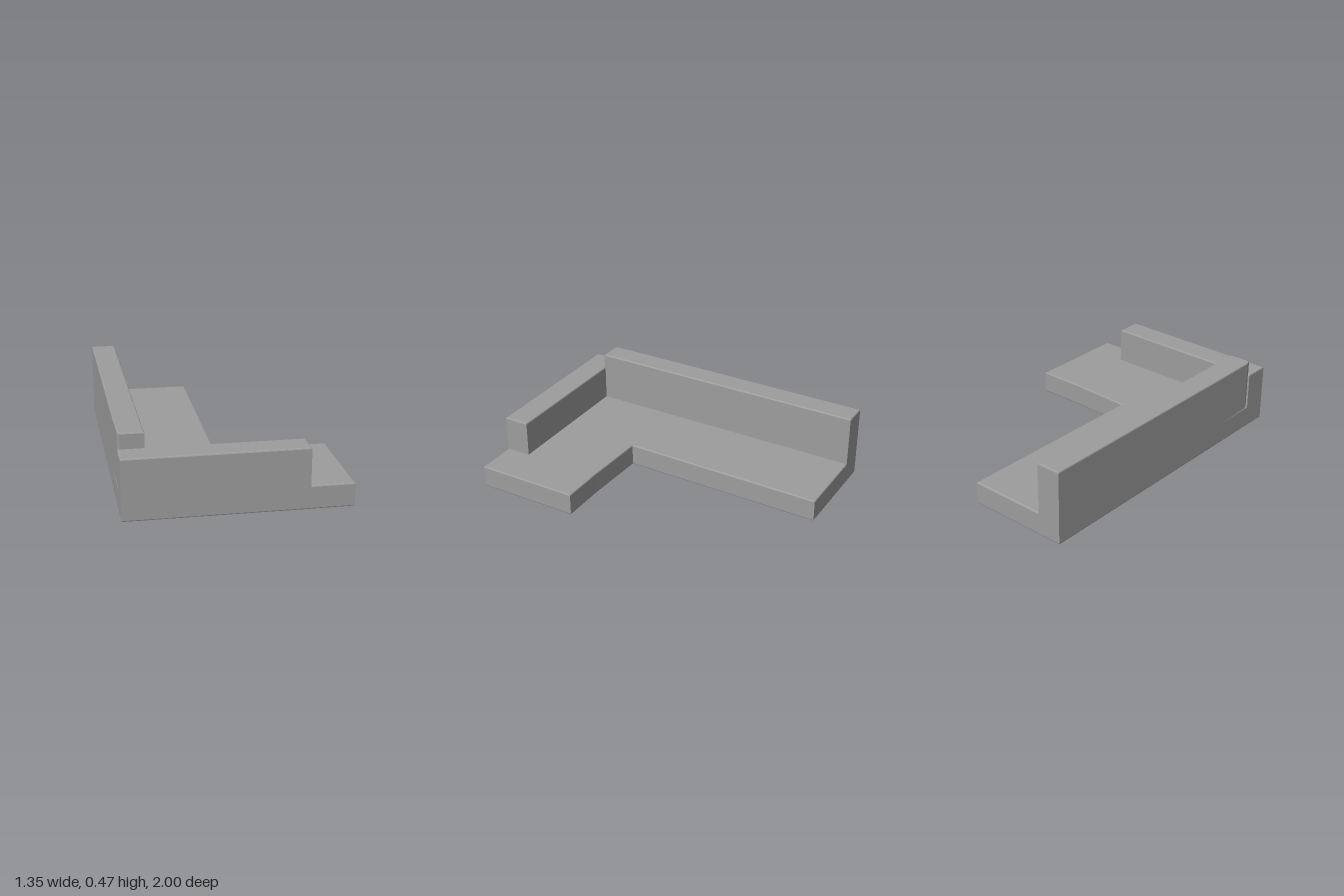
import * as THREE from 'three';

const BEVEL = 0.008;

// Upright slab with softened edges, from an [x, z] outline, standing on y = 0
function slab(name, outline, height, material) {
  const shape = new THREE.Shape(outline.map(([x, z]) => new THREE.Vector2(x, z)));
  const geometry = new THREE.ExtrudeGeometry(shape, {
    depth: height - 2 * BEVEL,
    bevelEnabled: true,
    bevelSegments: 2,
    bevelSize: BEVEL,
    bevelThickness: BEVEL,
    bevelOffset: -BEVEL,
  });
  geometry.rotateX(Math.PI / 2);
  geometry.translate(0, height - BEVEL, 0);
  const mesh = new THREE.Mesh(geometry, material);
  mesh.name = name;
  return mesh;
}

export function createModel() {
  const model = new THREE.Group();
  model.name = 'cornerBench';
  const material = new THREE.MeshStandardMaterial({ color: 0x9d9d9d });

  // L-shaped seat, slightly uneven at the inner corner
  const seat = [
    [-0.675, -1], [-0.018, -1], [-0.031, 0.315], [0.38, 0.33],
    [0.674, 0.33], [0.674, 0.998], [-0.675, 0.998],
  ];
  model.add(slab('seat', seat, 0.145, material));

  // Tall backrest along the long side, its outer front corner cut back a little
  const longBackrest = [
    [-0.675, -1], [-0.519, -1], [-0.519, 0.842],
    [-0.66, 0.842], [-0.672, 0.81], [-0.675, 0.5],
  ];
  model.add(slab('longBackrest', longBackrest, 0.472, material));

  // Lower backrest along the front
  const frontBackrest = [[-0.675, 0.836], [0.411, 0.836], [0.411, 1], [-0.675, 1]];
  model.add(slab('frontBackrest', frontBackrest, 0.376, material));

  return model;
}
